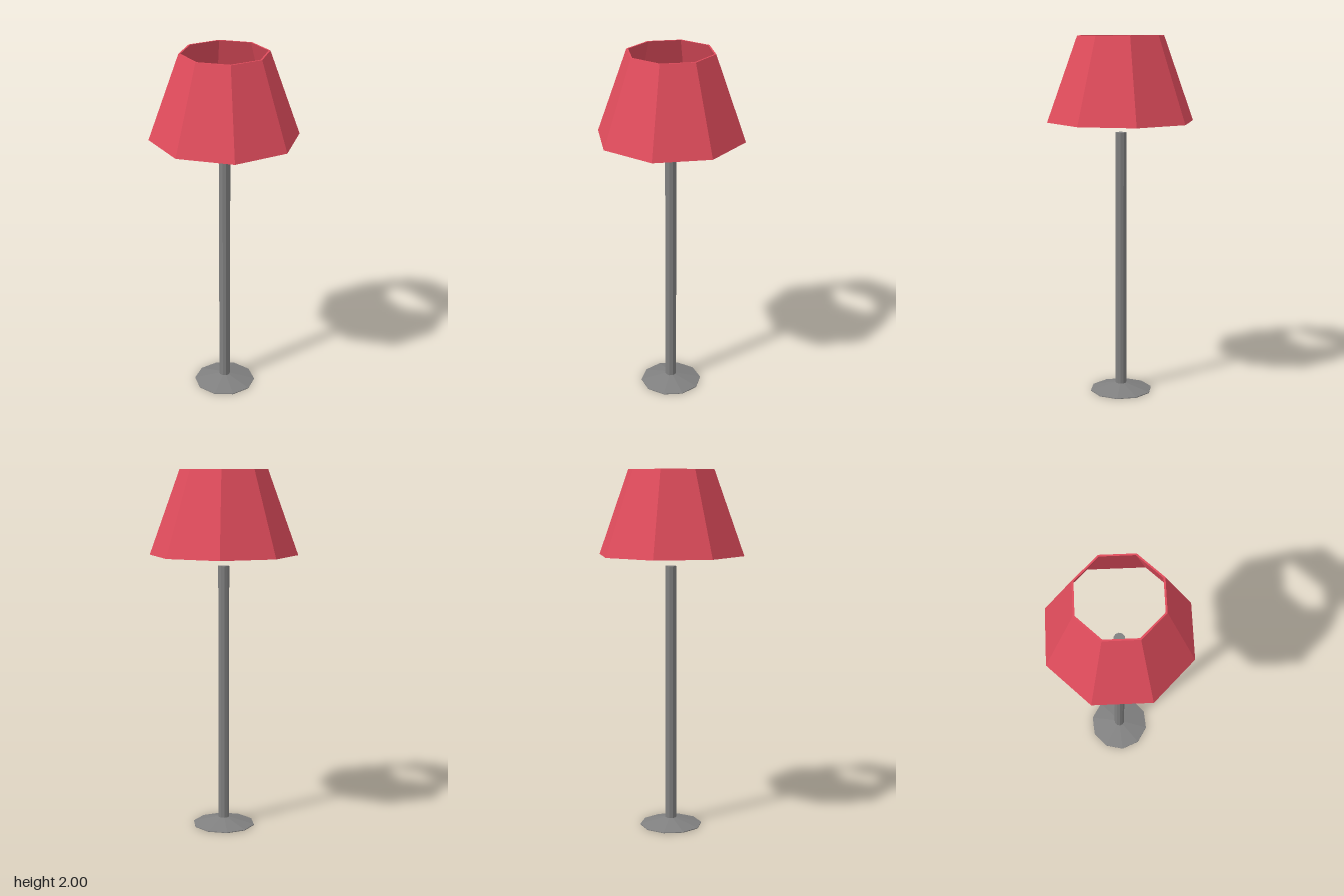
import * as THREE from 'three';

const red = new THREE.MeshStandardMaterial({ color: 0xe04c5c, flatShading: true });
const grey = new THREE.MeshStandardMaterial({ color: 0x808080, flatShading: true });

// Faceted solid of revolution from [radius, height] pairs
function turned(name, profile, sides, material) {
  const points = profile.map(([r, y]) => new THREE.Vector2(r, y));
  const mesh = new THREE.Mesh(new THREE.LatheGeometry(points, sides), material);
  mesh.name = name;
  return mesh;
}

export function createModel() {
  const lamp = new THREE.Group();
  lamp.name = 'floorLamp';

  // Shallow ten-sided foot
  lamp.add(turned('base', [[0, 0], [0.175, 0], [0.175, 0.004], [0.031, 0.041], [0, 0.041]], 10, grey));

  // Slim pole, capped at the top
  lamp.add(turned('pole', [[0, 0.02], [0.031, 0.02], [0.031, 1.475], [0, 1.475]], 10, grey));

  // Open eight-sided shade with a thin wall, floating above the pole
  const shade = [[0.408, 1.535], [0.24, 2], [0.23, 2], [0.398, 1.535], [0.408, 1.535]];
  lamp.add(turned('shade', shade, 8, red));

  return lamp;
}
